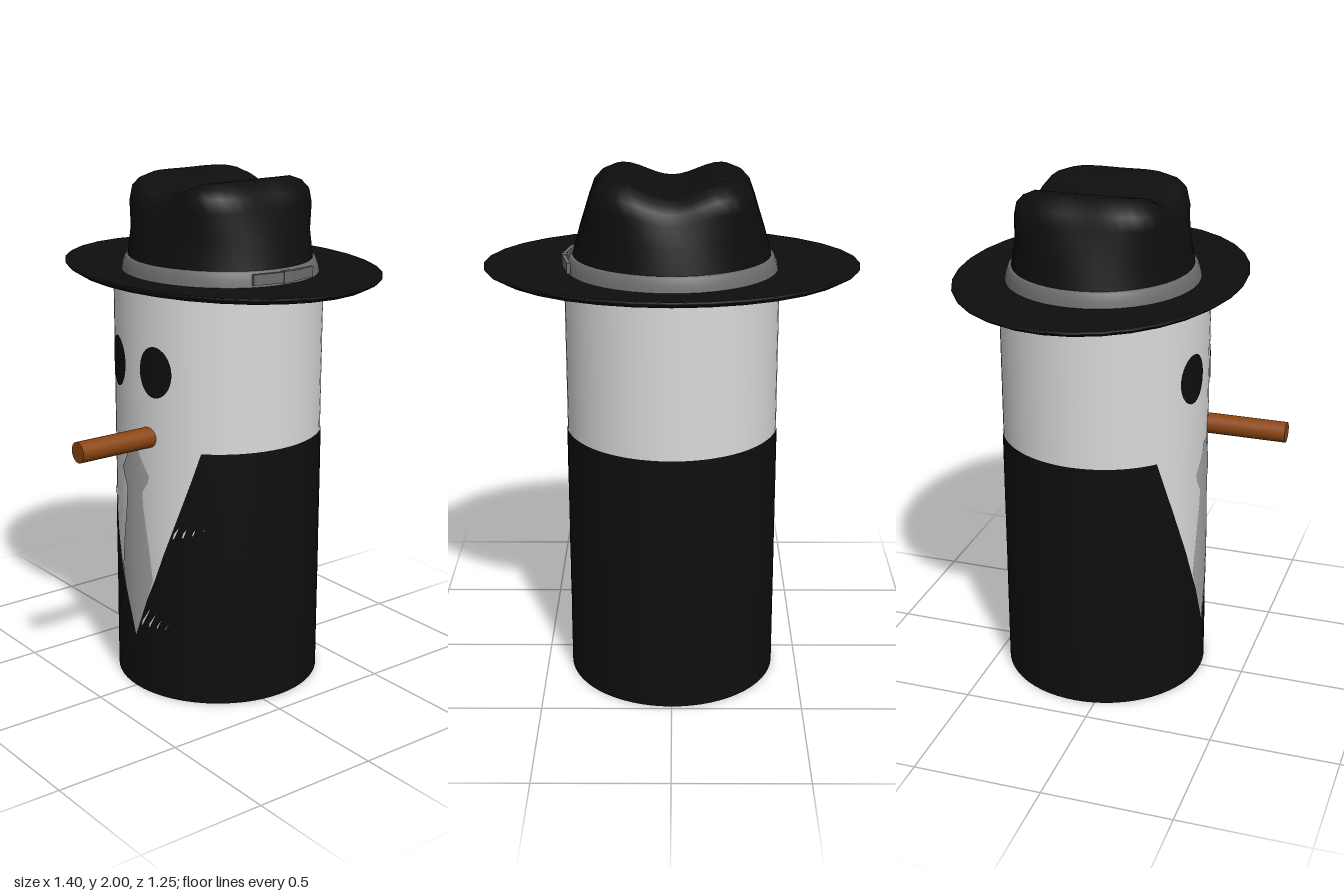
import * as THREE from 'three';
import { mergeVertices } from 'three/addons/utils/BufferGeometryUtils.js';

const R = 0.402, BODY_Z = -0.08, HAT_Z = -0.086;

const mat = (name, color) => {
  const m = new THREE.MeshStandardMaterial({ color });
  m.name = name;
  return m;
};

// Surface wrapped on a cylinder; rows run upwards as [y, startAngle, endAngle], angle 0 = front
function wrapPanel(rows, columns, radius) {
  const pos = [], nor = [], idx = [];
  rows.forEach(([y, a0, a1], i) => {
    for (let j = 0; j <= columns; j++) {
      const a = a0 + (a1 - a0) * j / columns;
      pos.push(radius * Math.sin(a), y, radius * Math.cos(a));
      nor.push(Math.sin(a), 0, Math.cos(a));
      if (i && j) {
        const d = i * (columns + 1) + j, c = d - 1, b = d - columns - 1, e = b - 1;
        idx.push(e, b, d, e, d, c);
      }
    }
  });
  const g = new THREE.BufferGeometry();
  g.setAttribute('position', new THREE.Float32BufferAttribute(pos, 3));
  g.setAttribute('normal', new THREE.Float32BufferAttribute(nor, 3));
  g.setIndex(idx);
  return g;
}

const angle = x => Math.asin(x / R);
const lathe = (pts, seg) => new THREE.LatheGeometry(pts.map(p => new THREE.Vector2(...p)), seg);

export function createModel() {
  const black = mat('black cloth', 0x0e0e0e);
  const white = mat('white', 0xdadada);
  const grey = mat('tie grey', 0xa6a6a6);
  const band = mat('hat band grey', 0x6c6c6c);
  const brown = mat('tobacco brown', 0x8b4510);

  const model = new THREE.Group();
  const add = (parent, name, geo, material, x = 0, y = 0, z = 0) => {
    const m = new THREE.Mesh(geo, material);
    m.name = name;
    m.position.set(x, y, z);
    parent.add(m);
    return m;
  };

  // Body: one white column carrying thin wrapped clothing panels
  const body = new THREE.Group();
  body.name = 'body';
  body.position.z = BODY_Z;
  model.add(body);
  add(body, 'headAndShirt', new THREE.CylinderGeometry(R, R, 1.63, 64), white, 0, 0.815, 0);

  // Suit, open at the front in a V
  const suitRows = [[0, 0], [0.22, 0], [0.4, 0.073], [0.48, 0.108], [0.6, 0.15],
    [0.8, 0.217], [0.92, 0.252], [1.02, 0.277]]
    .map(([y, x]) => [y, angle(x), Math.PI * 2 - angle(x)]);
  add(body, 'suit', wrapPanel(suitRows, 64, R + 0.003), black);

  // Tie, ending in the point of the V
  const tieRows = [[0.22, 0], [0.4, 0.073], [0.48, 0.1], [0.6, 0.083], [0.76, 0.055], [0.83, 0.05],
    [0.87, 0.078], [0.9, 0.086], [0.95, 0.052], [0.98, 0.034], [1.02, 0.018]]
    .map(([y, x]) => [y, -angle(x), angle(x)]);
  add(body, 'tie', wrapPanel(tieRows, 8, R + 0.003), grey);

  // Eyes
  for (const [name, cx] of [['leftEye', 0.115], ['rightEye', -0.12]]) {
    const rows = [];
    for (let i = 0; i <= 16; i++) {
      const t = -Math.PI / 2 + Math.PI * i / 16, w = 0.07 * Math.cos(t);
      rows.push([1.312 + 0.098 * Math.sin(t), angle(cx - w), angle(cx + w)]);
    }
    add(body, name, wrapPanel(rows, 6, R + 0.003), black);
  }

  // Cigar
  const cigar = add(model, 'cigar', new THREE.CylinderGeometry(0.04, 0.04, 0.325, 20), brown, 0.08, 1.055, 0.4625);
  cigar.rotation.x = Math.PI / 2;

  // Hat
  const hat = new THREE.Group();
  hat.name = 'hat';
  hat.position.z = HAT_Z;
  model.add(hat);

  // Oval brim with an upturned edge
  const brim = lathe([[0, 1.622], [0.6, 1.622], [0.66, 1.63], [0.695, 1.648], [0.7, 1.656],
    [0.685, 1.656], [0.63, 1.645], [0.5, 1.641], [0.3, 1.641]], 32);
  brim.scale(1, 1, 0.776);
  add(hat, 'brim', brim, black);

  // Crown: squared towards the top and pinched along the middle
  let crown = lathe([[0.38, 1.635], [0.37, 1.69], [0.34, 1.8], [0.308, 1.9], [0.287, 1.95], [0.26, 1.98],
    [0.22, 2], [0.18, 2], [0.14, 2], [0.1, 2], [0.06, 2], [0.03, 2], [0, 2]], 48);
  const p = crown.attributes.position;
  for (let i = 0; i < p.count; i++) {
    const y = p.getY(i), w = THREE.MathUtils.smoothstep(y, 1.72, 2);
    const a = Math.atan2(p.getX(i), p.getZ(i));
    const s = 1 + 0.2 * w * Math.sin(2 * a) ** 2;
    const x = p.getX(i) * s, z = p.getZ(i) * s * (0.93 + 0.06 * w);
    const dip = Math.abs(x) < 0.21 ? 0.056 * Math.cos(Math.PI * x / 0.42) ** 2 : 0;
    p.setXYZ(i, x, y - dip * w, z);
  }
  crown.deleteAttribute('uv');
  crown.deleteAttribute('normal');
  crown = mergeVertices(crown, 1e-4);
  crown.computeVertexNormals();
  add(hat, 'crown', crown, black);

  // Band and its flat bow on the left side
  const ribbon = lathe([[0.396, 1.635], [0.39, 1.665], [0.38, 1.69], [0.372, 1.697], [0.36, 1.694]], 48);
  ribbon.scale(1, 1, 0.935);
  add(hat, 'hatBand', ribbon, band);
  const bow = new THREE.Group();
  bow.name = 'bow';
  hat.add(bow);
  for (const side of [-1, 1]) {
    const loop = add(bow, 'bowLoop', new THREE.BoxGeometry(0.014, 0.04, 0.13), band, 0.388, 1.67, side * 0.075);
    loop.rotation.y = -side * 0.2;
  }
  add(bow, 'bowKnot', new THREE.BoxGeometry(0.02, 0.044, 0.04), band, 0.398, 1.67, 0);

  return model;
}
